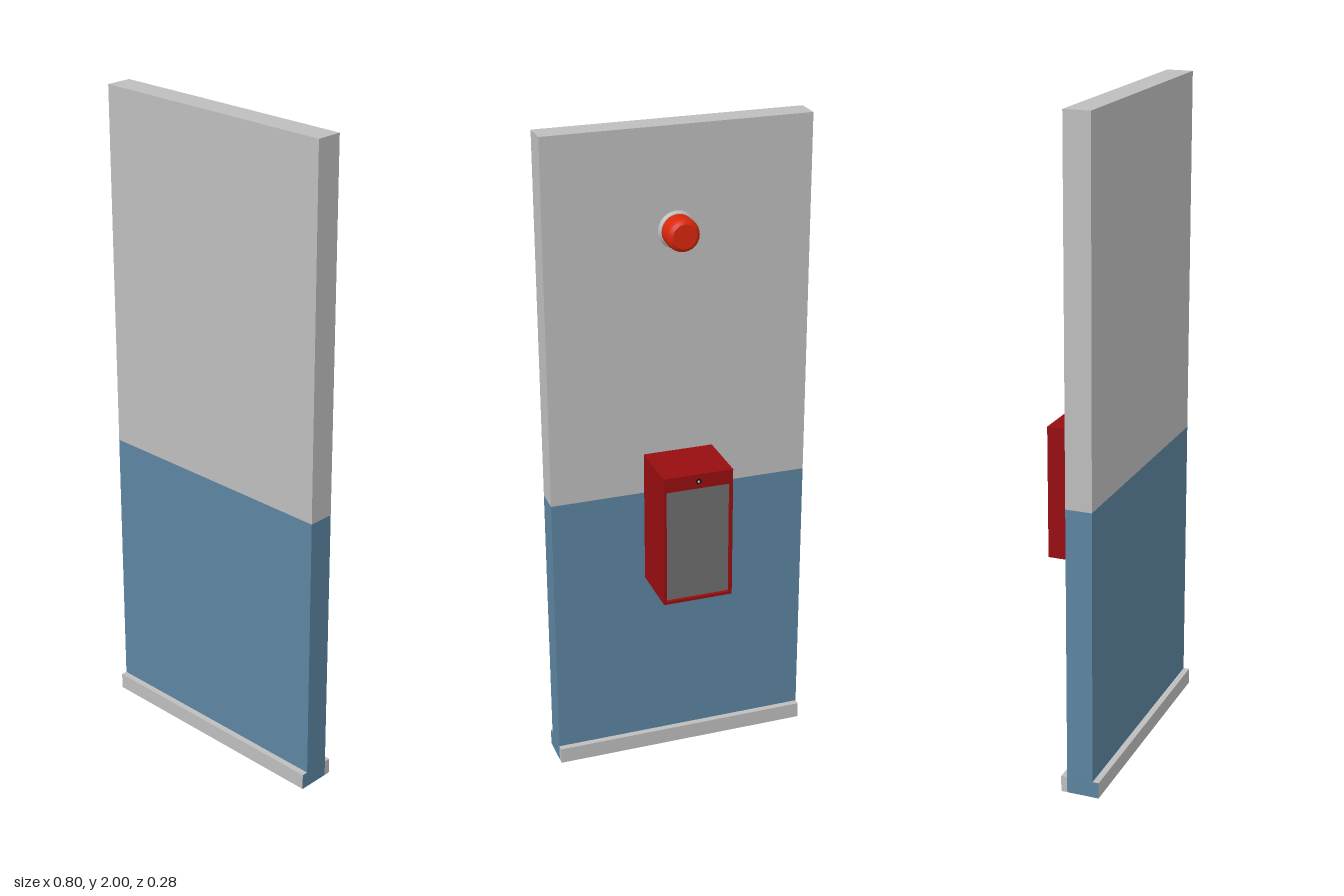
import * as THREE from 'three';

const mat = (name, color) => {
  const m = new THREE.MeshStandardMaterial({ color });
  m.name = name;
  return m;
};

export function createModel() {
  const grey = mat('light grey', 0xbebebe);
  const blue = mat('wall blue', 0x5c84a0);
  const red = mat('cabinet red', 0x970d10);
  const lampRed = mat('lamp red', 0xd9280c);
  const panelGrey = mat('panel grey', 0x6e6e6e);
  const black = mat('black', 0x0c0c0c);

  const model = new THREE.Group();
  model.name = 'wallSection';

  const add = (parent, name, geometry, material) => {
    const mesh = new THREE.Mesh(geometry, material);
    mesh.name = name;
    parent.add(mesh);
    return mesh;
  };
  // Box given by its lower and upper corners
  const box = (parent, name, material, [x0, y0, z0], [x1, y1, z1]) => {
    const mesh = add(parent, name, new THREE.BoxGeometry(x1 - x0, y1 - y0, z1 - z0), material);
    mesh.position.set((x0 + x1) / 2, (y0 + y1) / 2, (z0 + z1) / 2);
    return mesh;
  };

  // Two-tone wall; box material order is +x, -x, +y, -y, +z, -z
  const back = 0.042;
  box(model, 'upperWall', grey, [-0.4, 0.89, back], [0.4, 2, 0.122]);
  box(model, 'lowerWall', blue, [-0.4, 0.05, back], [0.4, 0.89, 0.122]);
  box(model, 'frontSkirting', [blue, blue, grey, grey, grey, grey], [-0.4, 0, back], [0.4, 0.05, 0.141]);
  box(model, 'backSkirting', [grey, grey, grey, black, grey, grey], [-0.4, 0, 0.023], [0.4, 0.05, back]);

  // Cabinet: a body with a frame around a recessed door panel
  const cabinet = new THREE.Group();
  cabinet.name = 'cabinet';
  model.add(cabinet);
  const [x0, x1, y0, y1, z0, z1] = [-0.102, 0.112, 0.602, 1.016, -0.14, -0.128];
  box(cabinet, 'cabinetBody', red, [x0, y0, z1], [x1, y1, back]);
  const frame = new THREE.Shape();
  frame.moveTo(x0, y0).lineTo(x1, y0).lineTo(x1, y1).lineTo(x0, y1).closePath();
  const hole = new THREE.Path();
  const [hx0, hx1, hy0, hy1] = [x0 + 0.009, x1 - 0.009, y0 + 0.009, y1 - 0.045];
  hole.moveTo(hx0, hy0).lineTo(hx0, hy1).lineTo(hx1, hy1).lineTo(hx1, hy0).closePath();
  frame.holes.push(hole);
  add(cabinet, 'doorFrame', new THREE.ExtrudeGeometry(frame, { depth: z1 - z0, bevelEnabled: false }), red)
    .position.z = z0;
  box(cabinet, 'doorPanel', panelGrey, [hx0, hy0, z1 - 0.002], [hx1, hy1, z1]);

  // Small round lock on the header of the door
  const disc = (name, r, depth, material) => {
    const m = add(cabinet, name, new THREE.CylinderGeometry(r, r, depth, 16), material);
    m.rotation.x = -Math.PI / 2;
    m.position.set(0.005, 0.994, z0 - depth / 2);
  };
  disc('lockRing', 0.008, 0.002, black);
  disc('lockCore', 0.004, 0.003, grey);

  // Signal lamp, turned so that its axis points to the back
  const lamp = new THREE.Group();
  lamp.name = 'signalLamp';
  lamp.rotation.x = -Math.PI / 2;
  lamp.position.set(0.0075, 1.699, back);
  model.add(lamp);
  add(lamp, 'lampBase', new THREE.CylinderGeometry(0.051, 0.056, 0.012, 24), grey).position.y = 0.006;
  const profile = [[0.049, 0.01], [0.049, 0.054], [0.046, 0.064], [0.036, 0.072], [0, 0.072]];
  // Repeated points keep the rims crisp
  for (let i = 0; i < profile.length - 1; i++) {
    const segment = [profile[i], profile[i + 1]].map(([r, y]) => new THREE.Vector2(r, y));
    add(lamp, 'lampLens', new THREE.LatheGeometry(segment, 24), lampRed);
  }
  return model;
}
